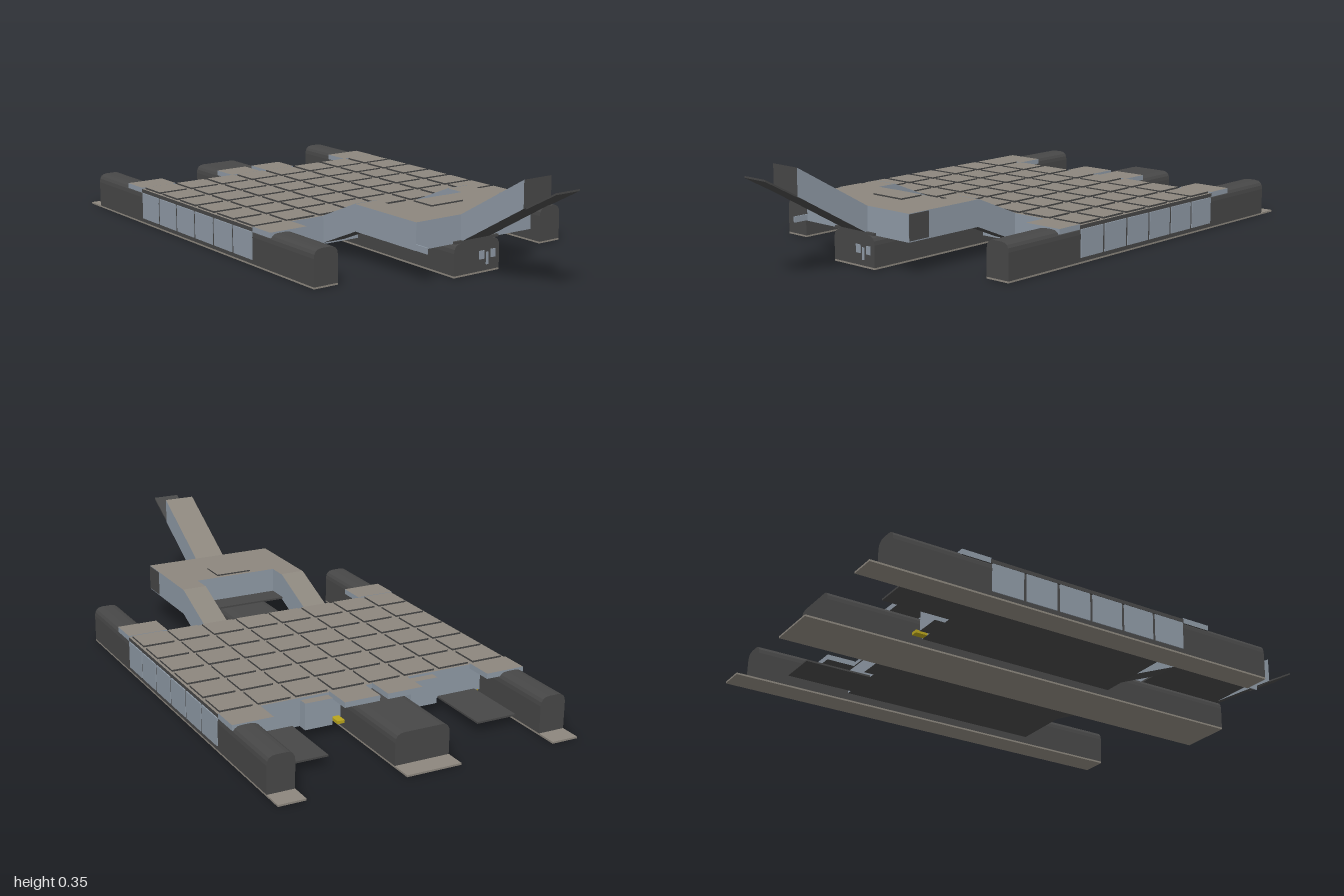
import * as THREE from 'three';

export function createModel() {
  const root = new THREE.Group();
  const material = (name, color) => {
    const m = new THREE.MeshStandardMaterial({ color, side: THREE.DoubleSide });
    m.name = name;
    return m;
  };
  const taupe = material('deckTaupe', 0x8c867d);
  const blue = material('panelBlueGrey', 0x8e99a5);
  const dark = material('hullCharcoal', 0x474747);
  const yellow = material('trimYellow', 0xb8a41c);

  // Face materials in the order +x, -x, top, bottom, front, back
  const body = [blue, blue, taupe, dark, blue, blue];
  const raised = [dark, dark, taupe, dark, dark, dark];

  // Box between limits; rise lifts the front end relative to the back end
  function block(name, [x0, x1], [y0, y1], [z0, z1], mats, rise = 0) {
    const g = new THREE.BoxGeometry(x1 - x0, y1 - y0, z1 - z0);
    g.translate((x0 + x1) / 2, (y0 + y1) / 2, (z0 + z1) / 2);
    if (rise) {
      const p = g.attributes.position;
      for (let i = 0; i < p.count; i++) {
        p.setY(i, p.getY(i) + rise * (p.getZ(i) - z0) / (z1 - z0));
      }
      g.computeVertexNormals();
    }
    const mesh = new THREE.Mesh(g, mats);
    mesh.name = name;
    root.add(mesh);
    return mesh;
  }

  // Same box on both sides of the centre line
  function pair(name, [x0, x1], y, z, mats, rise) {
    block(name + 'Left', [x0, x1], y, z, mats, rise);
    block(name + 'Right', [-x1, -x0], y, z, mats, rise);
  }

  // Long float with a rounded top and a keel plate that reaches past the stern
  function pontoon(name, x, halfWidth, height, corner, zBack, zFront) {
    const w = halfWidth, s = new THREE.Shape();
    s.moveTo(-w, 0.006);
    s.lineTo(w, 0.006);
    s.lineTo(w, height - corner);
    s.quadraticCurveTo(w, height, w - corner, height);
    s.lineTo(-w + corner, height);
    s.quadraticCurveTo(-w, height, -w, height - corner);
    s.closePath();
    const g = new THREE.ExtrudeGeometry(s, { depth: zFront - zBack, bevelEnabled: false, curveSegments: 4 });
    const mesh = new THREE.Mesh(g, dark);
    mesh.position.set(x, 0, zBack);
    mesh.name = name;
    root.add(mesh);
    block(name + 'KeelPlate', [x - w, x + w], [0, 0.006], [-1, zFront], taupe);
  }
  pontoon('leftPontoon', 0.465, 0.045, 0.125, 0.03, -0.93, 0.45);
  pontoon('rightPontoon', -0.465, 0.045, 0.125, 0.03, -0.93, 0.45);
  pontoon('centrePontoon', 0, 0.093, 0.108, 0.03, -0.93, 0.61);

  // Hull between the pontoons and the deck over all three
  block('hull', [-0.42, 0.42], [0.03, 0.118], [-0.6, 0.115], body);
  block('deck', [-0.511, 0.511], [0.114, 0.126], [-0.605, 0.115], [dark, dark, taupe, dark, blue, blue]);
  pair('sternLocker', [0.14, 0.235], [0.03, 0.118], [-0.635, -0.6], body);
  pair('sternShelf', [0.26, 0.4], [0.03, 0.036], [-0.83, -0.6], dark);

  // Raised deck tiles and side panels in rows
  const rows = 6, cols = 8, pitchZ = 0.72 / rows, pitchX = 1.022 / cols;
  for (let r = 0; r < rows; r++) {
    const z = -0.605 + r * pitchZ;
    for (let c = 0; c < cols; c++) {
      const x = -0.511 + c * pitchX;
      block('deckTile', [x + 0.009, x + pitchX - 0.009], [0.126, 0.132],
        [z + 0.009, z + pitchZ - 0.009], raised);
    }
    pair('sidePanel', [0.509, 0.513], [0.02, 0.112], [z + 0.005, z + pitchZ - 0.005], blue);
  }

  // Connector tabs at the deck ends
  pair('bowTab', [0.372, 0.511], [0.112, 0.13], [0.115, 0.215], body);
  pair('sternTab', [0.375, 0.511], [0.112, 0.13], [-0.705, -0.605], body);
  pair('sternInnerTab', [0.014, 0.137], [0.112, 0.13], [-0.705, -0.605], body);

  // Thin trim strips under the hull
  block('leftTrim', [0.096, 0.104], [0.027, 0.031], [-0.6, 0.1], yellow);
  block('rightTrim', [-0.416, -0.408], [0.027, 0.031], [-0.6, 0.1], yellow);
  pair('sternTrim', [0.1, 0.125], [0.03, 0.04], [-0.64, -0.6], yellow);

  // Raised bow platform on two sloping arms
  pair('arm', [0.15, 0.236], [0.035, 0.127], [0.115, 0.29], body, 0.072);
  pair('armHead', [0.15, 0.236], [0.108, 0.198], [0.29, 0.36], body);
  block('bowPlatform', [-0.236, 0.236], [0.108, 0.198], [0.36, 0.6], body);
  block('notchFloor', [-0.15, 0.15], [0.108, 0.114], [0.28, 0.36], dark);
  block('hatch', [-0.065, 0.065], [0.198, 0.203], [0.375, 0.465], raised);
  block('sideDoor', [0.235, 0.238], [0.112, 0.196], [0.515, 0.598], dark);
  block('cornerFin', [-0.239, -0.235], [0.11, 0.13], [0.6, 0.655], blue);

  // Inclined boarding ramp with its end flap
  block('rampHinge', [-0.09, 0.09], [0.108, 0.116], [0.6, 0.61], dark);
  block('ramp', [-0.058, 0.052], [0.11, 0.198], [0.6, 0.88], [blue, blue, taupe, dark, dark, dark], 0.157);
  block('rampFlap', [-0.045, 0.05], [0.262, 0.268], [0.875, 1], dark, 0.066);

  // Small plates on the front of the centre float
  block('bowPlate', [0.01, 0.03], [0.045, 0.072], [0.608, 0.613], blue);
  block('bowPlate', [0.058, 0.075], [0.045, 0.072], [0.608, 0.613], blue);
  block('bowPlate', [0.038, 0.047], [0.025, 0.065], [0.608, 0.613], blue);

  return root;
}
